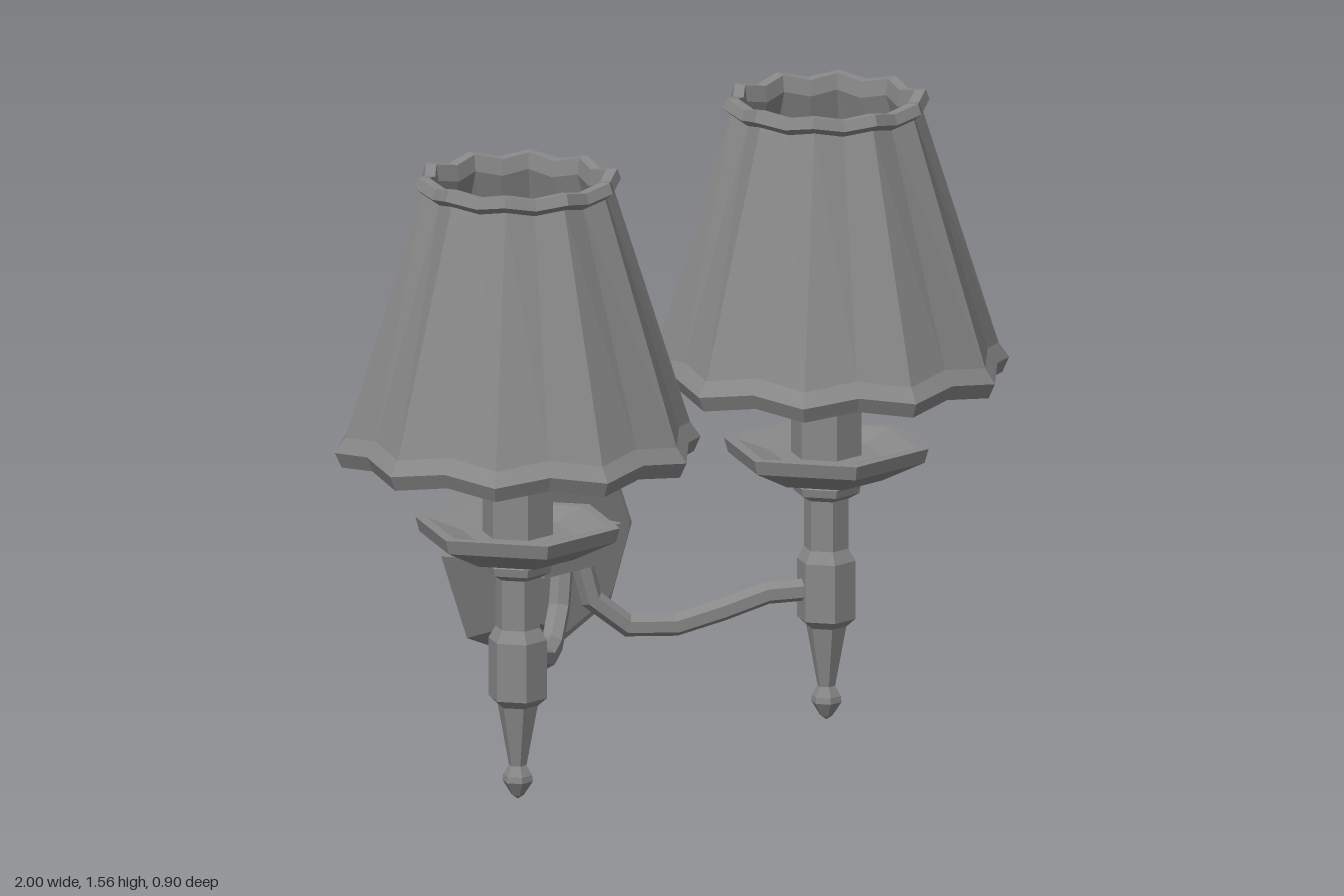
import * as THREE from 'three';

const material = new THREE.MeshStandardMaterial({ color: 0x888888, flatShading: true, side: THREE.DoubleSide });

function add(parent, name, geometry, x = 0, y = 0, z = 0) {
  const mesh = new THREE.Mesh(geometry, material);
  mesh.name = name;
  mesh.position.set(x, y, z);
  parent.add(mesh);
  return mesh;
}

// Faceted turning with a corner on the x axis; profile is [radius, height] pairs
function turned(profile, sides = 6, start = Math.PI / 2) {
  return new THREE.LatheGeometry(profile.map(p => new THREE.Vector2(...p)), sides, start);
}

// Scalloped shade: every second column is pulled in, and both rims ripple
function shadeGeometry() {
  const profile = [
    [0.405, 0.925], [0.41, 0.87], [0.435, 0.848], [0.452, 0.885], [0.426, 0.922],
    [0.235, 1.522], [0.255, 1.538], [0.246, 1.564], [0.218, 1.562],
    [0.212, 1.522], [0.405, 0.925],
  ];
  const geometry = turned(profile, 20);
  const pos = geometry.attributes.position;
  for (let i = 0; i < pos.count; i++) {
    if (Math.floor(i / profile.length) % 2 === 0) continue;
    const y = pos.getY(i);
    const ripple = y < 0.94 ? 0.018 : -0.013;
    pos.setXYZ(i, pos.getX(i) * 0.925, y + ripple, pos.getZ(i) * 0.925);
  }
  return geometry;
}

function createLamp() {
  const lamp = new THREE.Group();
  // Stem with pointed finial, square-shouldered block and collar
  add(lamp, 'stem', turned([
    [0, 0], [0.015, 0.01], [0.038, 0.045], [0.036, 0.06], [0.022, 0.085],
    [0.05, 0.235], [0.073, 0.255], [0.073, 0.4], [0.055, 0.43], [0.055, 0.555],
    [0.082, 0.57], [0.086, 0.59], [0.06, 0.605], [0, 0.605],
  ]));
  // Drip pan
  add(lamp, 'dripPan', turned([
    [0, 0.6], [0.14, 0.605], [0.245, 0.655], [0.255, 0.69], [0.225, 0.69], [0.14, 0.665], [0, 0.665],
  ]));
  // Candle tube and bulb holder
  add(lamp, 'candle', turned([
    [0, 0.65], [0.088, 0.65], [0.088, 0.98], [0.05, 0.985], [0.045, 1.03],
    [0.06, 1.04], [0.06, 1.07], [0, 1.09],
  ]));
  // Four spokes that carry the shade
  for (let i = 0; i < 4; i++) {
    const spoke = new THREE.BoxGeometry(0.32, 0.02, 0.02).translate(0.22, 0, 0);
    add(lamp, 'shadeSpoke', spoke, 0, 0.915, 0).rotation.y = i * Math.PI / 2;
  }
  add(lamp, 'shade', shadeGeometry());
  return lamp;
}

// Angular arm that curves up behind the bracket
function createArm(side) {
  const points = [
    [0.52, 0.33, 0.01], [0.42, 0.325, -0.06], [0.32, 0.285, -0.13], [0.2, 0.255, -0.205],
    [0.11, 0.275, -0.27], [0.05, 0.35, -0.305], [0.03, 0.45, -0.315],
  ].map(([x, y, z]) => new THREE.Vector3(x * side, y, z));
  return new THREE.TubeGeometry(new THREE.CatmullRomCurve3(points), 6, 0.028, 6);
}

export function createModel() {
  const model = new THREE.Group();
  model.name = 'wallLamp';

  // Eight-sided wall plate, turned to face the front
  const plate = turned([[0, 0], [0.312, 0], [0.258, 0.1], [0.235, 0.105], [0.225, 0.125], [0, 0.125]], 8, 0);
  plate.rotateX(Math.PI / 2);
  add(model, 'wallPlate', plate, 0, 0.482, -0.455);

  // Bracket block on the plate
  add(model, 'armBracket', new THREE.BoxGeometry(0.275, 0.09, 0.06), 0, 0.47, -0.305);

  for (const side of [-1, 1]) {
    const lamp = createLamp();
    lamp.name = side > 0 ? 'leftLamp' : 'rightLamp';
    lamp.position.set(side * 0.548, 0, 0.02);
    model.add(lamp);
    add(model, side > 0 ? 'leftArm' : 'rightArm', createArm(side));
  }
  return model;
}
